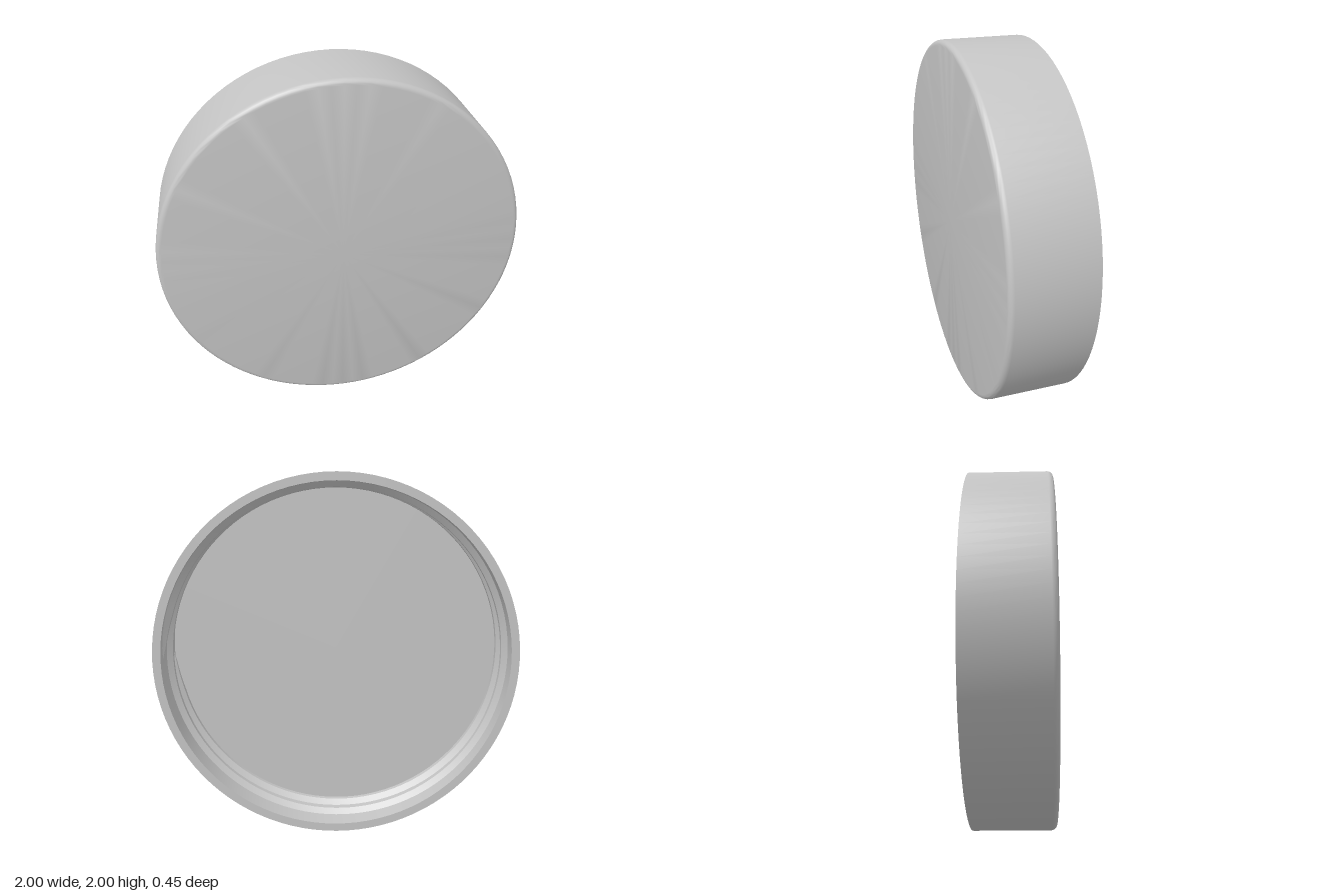
import * as THREE from 'three';
import { toCreasedNormals } from 'three/addons/utils/BufferGeometryUtils.js';

const R = 1, INNER = 0.955, HALF = 0.226, FLOOR = 0.14, FILLET = 0.03;

// Hollow cap: floor, inner wall, rim, outer wall and rounded front edge
function shellGeometry() {
  const p = [[0, FLOOR], [INNER, FLOOR], [INNER, -HALF], [R, -HALF]];
  for (let i = 0; i <= 6; i++) {
    const a = (i / 6) * Math.PI / 2;
    p.push([R - FILLET + FILLET * Math.cos(a), HALF - FILLET + FILLET * Math.sin(a)]);
  }
  p.push([0, HALF]);
  const g = new THREE.LatheGeometry(p.map(([r, z]) => new THREE.Vector2(r, z)), 96);
  g.rotateX(Math.PI / 2);
  return toCreasedNormals(g, 0.6);
}

// Helical ridge swept along the inner wall, tapering out at both ends
function threadGeometry(turns, zStart, pitch, height, halfWidth) {
  const steps = turns * 96, pos = [], index = [];
  for (let i = 0; i <= steps; i++) {
    const a = (i / steps) * turns * Math.PI * 2;
    const z = zStart + pitch * a / (Math.PI * 2);
    const s = Math.sqrt(Math.min(1, i / 4, (steps - i) / 4));
    const tip = INNER - height * s, w = halfWidth * Math.max(s, 0.05);
    for (const [r, dz] of [[INNER + 0.003, w], [tip, w * 0.35], [tip, -w * 0.35], [INNER + 0.003, -w]])
      pos.push(r * Math.cos(a), r * Math.sin(a), z + dz);
    if (i === steps) continue;
    for (let j = 0; j < 3; j++) {
      const k = i * 4 + j;
      index.push(k, k + 4, k + 1, k + 1, k + 4, k + 5);
    }
  }
  const g = new THREE.BufferGeometry();
  g.setAttribute('position', new THREE.Float32BufferAttribute(pos, 3));
  g.setIndex(index);
  return toCreasedNormals(g, 0.5);
}

export function createModel() {
  const grey = new THREE.MeshStandardMaterial({ color: 0xc4c4c4 });
  grey.name = 'grey plastic';
  const model = new THREE.Group();
  model.name = 'screwCap';

  const shell = new THREE.Mesh(shellGeometry(), grey);
  shell.name = 'capShell';
  const thread = new THREE.Mesh(threadGeometry(2, -0.165, 0.13, 0.03, 0.04), grey);
  thread.name = 'innerThread';
  for (const part of [shell, thread]) {
    part.position.y = R;
    model.add(part);
  }
  return model;
}
